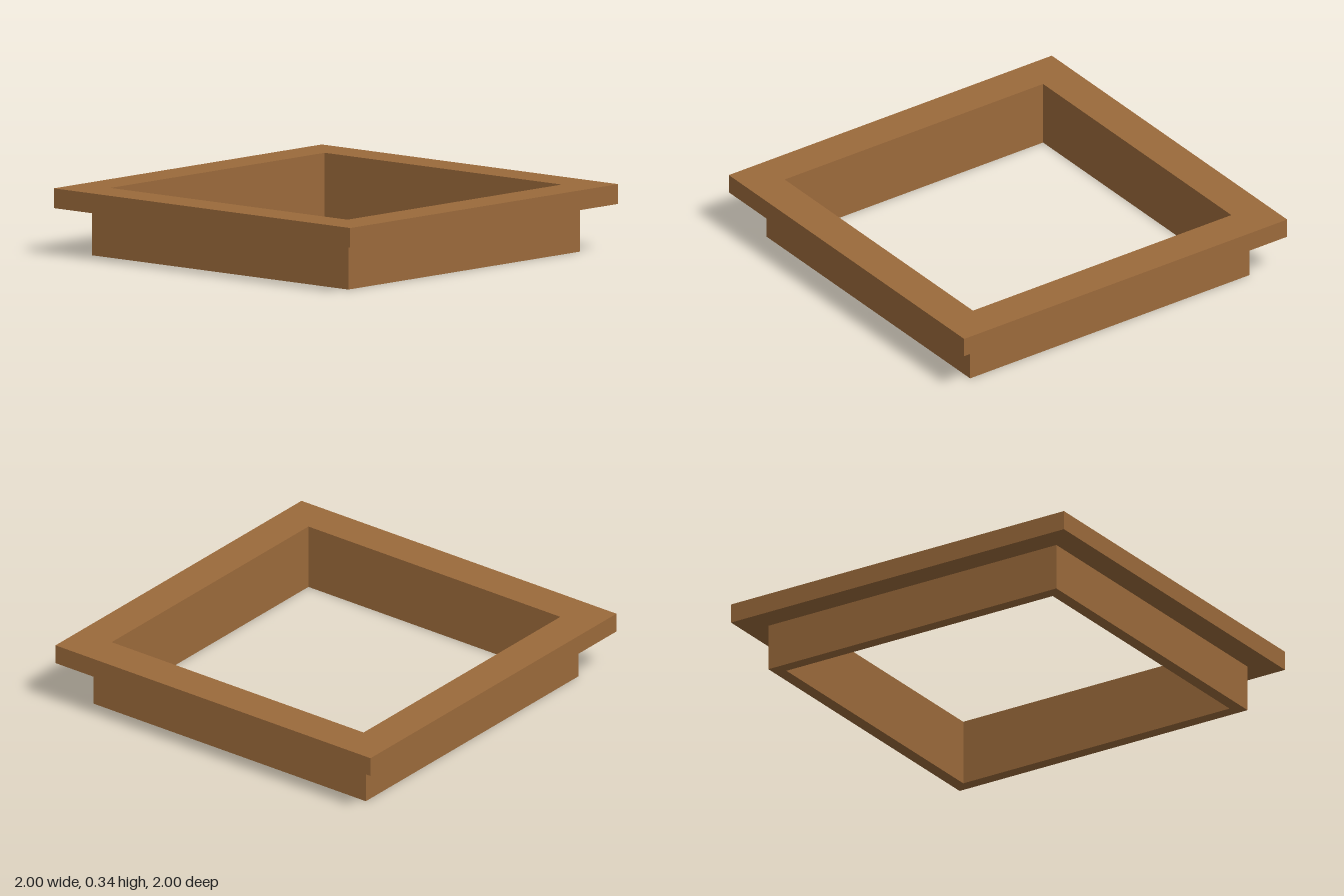
import * as THREE from 'three';

const wood = new THREE.MeshStandardMaterial({ color: 0x9b6a3b });
wood.name = 'wood';

// Square ring, given half-widths, standing between two heights
function squareRing(name, outer, inner, bottom, top) {
  const square = (Type, r) => new Type([
    new THREE.Vector2(-r, -r), new THREE.Vector2(r, -r),
    new THREE.Vector2(r, r), new THREE.Vector2(-r, r),
  ]);
  const shape = square(THREE.Shape, outer);
  shape.holes.push(square(THREE.Path, inner));
  const geometry = new THREE.ExtrudeGeometry(shape, { depth: top - bottom, bevelEnabled: false });
  geometry.rotateX(-Math.PI / 2).translate(0, bottom, 0);
  const mesh = new THREE.Mesh(geometry, wood);
  mesh.name = name;
  return mesh;
}

export function createModel() {
  const group = new THREE.Group();
  group.name = 'openingFrame';
  group.add(
    squareRing('lowerWall', 0.865, 0.8, 0, 0.24), // thin upright walls
    squareRing('topFlange', 1, 0.8, 0.24, 0.34), // wide overhanging rim
  );
  return group;
}
